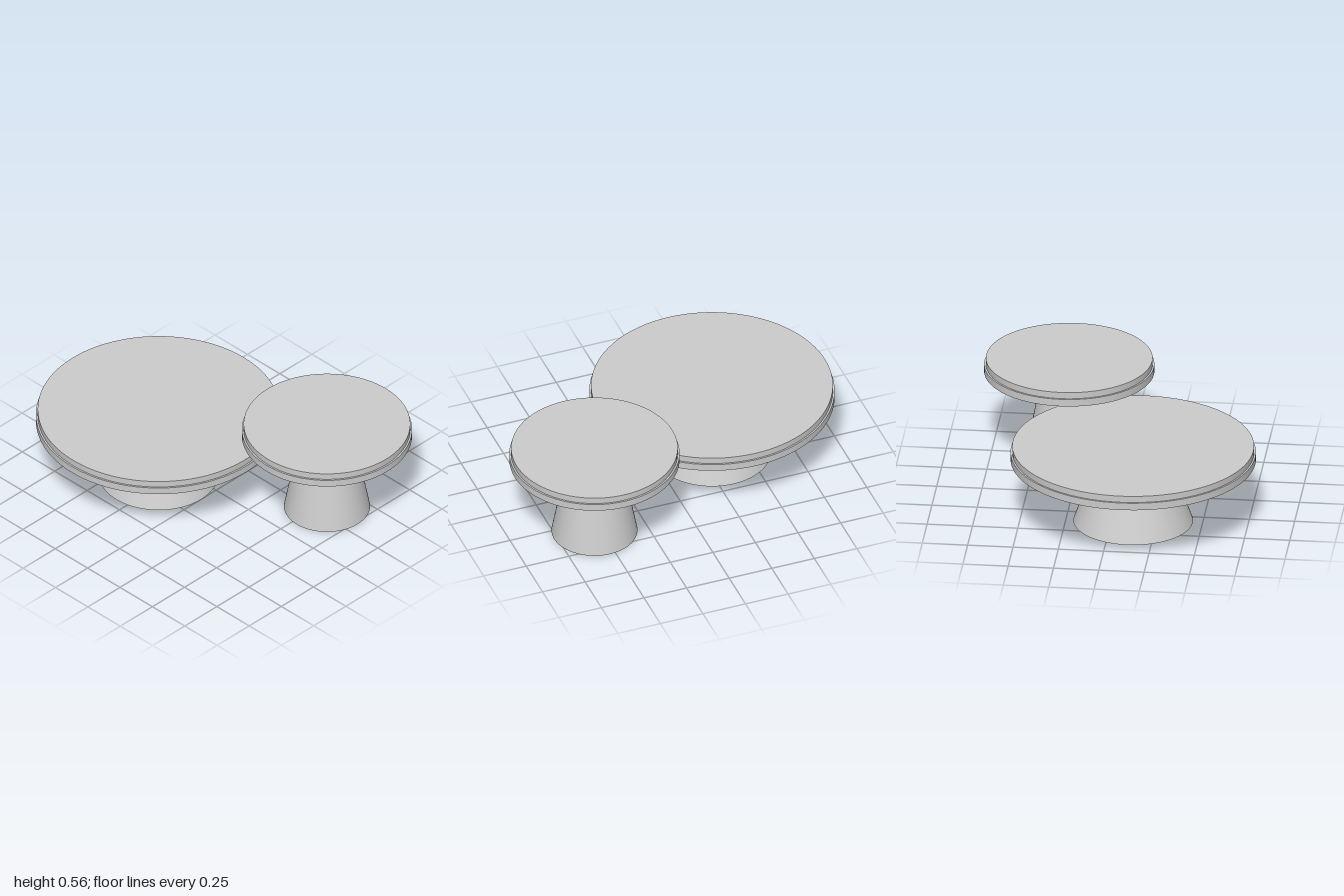
import * as THREE from 'three';

const material = new THREE.MeshStandardMaterial({ color: 0xcccccc });

// Upright round part between two heights, tapering from bottom to top radius
function roundPart(name, bottomRadius, topRadius, y0, y1) {
  const geometry = new THREE.CylinderGeometry(topRadius, bottomRadius, y1 - y0, 96);
  const mesh = new THREE.Mesh(geometry, material);
  mesh.name = name;
  mesh.position.y = (y0 + y1) / 2;
  return mesh;
}

// Table: tapered pedestal, lower disc and a slightly smaller top disc
function createTable({ name, x, z, radius, height, footRadius, neckRadius }) {
  const table = new THREE.Group();
  table.name = name;
  table.position.set(x, 0, z);
  const discY = height - 0.079;
  const topY = height - 0.037;
  table.add(
    roundPart('pedestal', footRadius, neckRadius, 0, discY),
    roundPart('lowerDisc', radius, radius, discY, topY),
    roundPart('tableTop', radius - 0.01, radius - 0.01, topY, height),
  );
  return table;
}

export function createModel() {
  const model = new THREE.Group();
  model.name = 'nestingTables';
  model.add(
    createTable({
      name: 'largeLowTable', x: -0.327, z: 0.118, radius: 0.673,
      height: 0.448, footRadius: 0.328, neckRadius: 0.197,
    }),
    createTable({
      name: 'smallTallTable', x: 0.533, z: -0.326, radius: 0.467,
      height: 0.564, footRadius: 0.236, neckRadius: 0.147,
    }),
  );
  return model;
}
